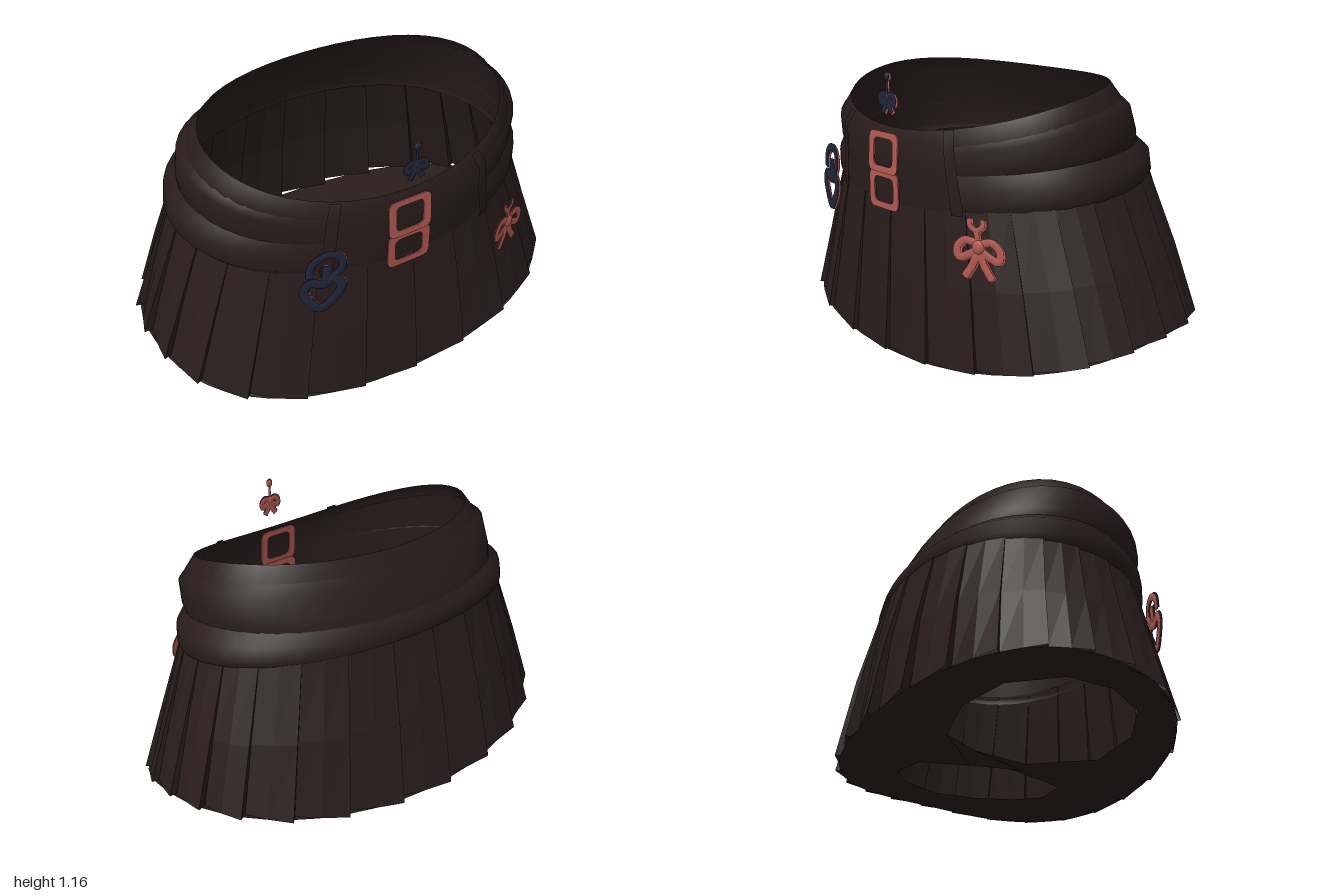
import * as THREE from 'three';

const cloth = new THREE.MeshStandardMaterial({ color: 0x291c1c, side: THREE.DoubleSide });
cloth.name = 'darkBrownCloth';
const pleatCloth = cloth.clone();
pleatCloth.name = 'darkBrownPleats';
pleatCloth.flatShading = true;
const copper = new THREE.MeshStandardMaterial({ color: 0xb25a52 });
copper.name = 'copperRed';
const navy = new THREE.MeshStandardMaterial({ color: 0x21273a });
navy.name = 'navyMetal';

// A tilted oval: centre x, half width, front z, back z, height at front, side and back,
// and how much the front corners are squared off
function ringPoint([cx, rx, zf, zb, yf, ys, yb, square = 0.02], t, out = 0) {
  const c = Math.cos(t);
  const q = 1 + (c > 0 ? square : 0.015) * Math.sin(2 * t) ** 2;
  const y = ys + ((yf + yb) / 2 - ys) * c * c + ((yf - yb) / 2) * c;
  return [cx + (rx * q + out) * Math.sin(t), y, (zf + zb) / 2 + (((zf - zb) / 2) * q + out) * c];
}

// Surface through rows of points of equal length
function skin(rows) {
  const index = [], n = rows[0].length;
  for (let r = 0; r < rows.length - 1; r++) {
    for (let i = 0; i < n - 1; i++) {
      const a = r * n + i, b = a + 1, c = b + n, d = a + n;
      index.push(a, b, c, a, c, d);
    }
  }
  const g = new THREE.BufferGeometry();
  g.setAttribute('position', new THREE.Float32BufferAttribute(rows.flat(2), 3));
  g.setIndex(index);
  g.computeVertexNormals();
  return g;
}

// Skin over rings (bottom to top); columns are [angle, outward offset], scaled per ring
function loft(rings, columns, scale = () => 1) {
  return skin(rings.map((ring, r) => columns.map(([t, o]) => ringPoint(ring, t, o * scale(r)))));
}

function arc(from, to, count, out = 0) {
  return Array.from({ length: count + 1 }, (_, i) => [from + ((to - from) * i) / count, out]);
}

function mesh(name, geometry, material) {
  const m = new THREE.Mesh(geometry, material);
  m.name = name;
  return m;
}

// Flattened ribbon along a 2D path
function stroke(points, radius, closed = false) {
  const curve = new THREE.CatmullRomCurve3(points.map(([x, y]) => new THREE.Vector3(x, y, 0)), closed);
  return new THREE.TubeGeometry(curve, points.length * 5, radius, 6, closed).scale(1, 1, 0.2);
}

// A charm with a front layer and a slightly offset back layer that shows as its rim
function charm(name, parts, frontMat, backMat, position, turn) {
  const g = new THREE.Group();
  g.name = name;
  parts.forEach(([part, geometry]) => {
    g.add(mesh(part + 'Front', geometry, frontMat));
    const back = mesh(part + 'Back', geometry, backMat);
    back.position.set(0.005, -0.003, -0.007);
    g.add(back);
  });
  g.position.set(...position);
  g.rotation.y = turn;
  return g;
}

function bowParts(s, thick) {
  const p = (list) => list.map(([x, y]) => [x * s, y * s]);
  const parts = [];
  for (const k of [-1, 1]) {
    parts.push(['bowLoop', stroke(p([[0, 0], [0.05 * k, 0.022], [0.085 * k, -0.008], [0.08 * k, -0.045], [0.04 * k, -0.03]]), thick, true)]);
    parts.push(['bowTail', stroke(p([[0, 0], [0.02 * k, -0.06], [0.055 * k, -0.115]]), thick)]);
  }
  parts.push(['bowKnot', new THREE.SphereGeometry(0.026 * s, 10, 8).scale(1, 1, 0.4)]);
  return parts;
}

function roundedRect(path, w, h, r) {
  const x = w / 2, y = h / 2;
  path.moveTo(-x + r, -y).lineTo(x - r, -y).quadraticCurveTo(x, -y, x, -y + r);
  path.lineTo(x, y - r).quadraticCurveTo(x, y, x - r, y).lineTo(-x + r, y);
  path.quadraticCurveTo(-x, y, -x, y - r).lineTo(-x, -y + r).quadraticCurveTo(-x, -y, -x + r, -y);
  return path;
}

export function createModel() {
  const model = new THREE.Group();
  model.name = 'pleatedSkirt';

  // Pleated skirt: sawtooth columns, fading towards the belt
  const hem = [0, 0.975, 0.622, -0.615, 0.005, 0.19, 0.13, 0.075];
  const skirtRings = [
    hem,
    [-0.005, 0.89, 0.6, -0.557, 0.34, 0.45, 0.48, 0.05],
    [-0.015, 0.785, 0.572, -0.475, 0.68, 0.75, 0.82, 0.025],
  ];
  const pleats = 24, columns = [];
  for (let i = 0; i < pleats; i++) {
    const a = (i / pleats) * Math.PI * 2, b = ((i + 1) / pleats) * Math.PI * 2;
    const jut = 0.018 - 0.007 * Math.cos(a);
    columns.push([a, -jut], [(a + b) / 2, 0], [b, jut]);
  }
  columns.push([Math.PI * 2, -0.011]);
  model.add(mesh('pleats', loft(skirtRings, columns, (r) => [1, 0.5, 0.1][r]), pleatCloth));

  // Waistband
  const band = [
    [-0.015, 0.785, 0.575, -0.465, 0.63, 0.71, 0.79],
    [-0.015, 0.79, 0.58, -0.465, 0.66, 0.74, 0.81],
    [-0.02, 0.75, 0.583, -0.44, 0.78, 0.86, 0.89],
    [-0.02, 0.725, 0.583, -0.355, 0.89, 1.03, 1.05],
    [-0.02, 0.67, 0.555, -0.31, 0.943, 1.1, 1.12],
  ];
  model.add(mesh('waistband', loft(band, arc(-Math.PI, Math.PI, 48)), cloth));

  // Two bulging belt folds around the sides and back
  const folds = {
    lowerBelt: [
      [-0.015, 0.785, 0.575, -0.465, 0.64, 0.71, 0.79],
      [-0.02, 0.81, 0.588, -0.487, 0.66, 0.745, 0.805],
      [-0.02, 0.805, 0.59, -0.475, 0.72, 0.82, 0.855],
      [-0.02, 0.752, 0.584, -0.44, 0.78, 0.87, 0.89],
    ],
    upperBelt: [
      [-0.02, 0.748, 0.582, -0.438, 0.77, 0.865, 0.89],
      [-0.02, 0.758, 0.588, -0.427, 0.8, 0.9, 0.93],
      [-0.02, 0.757, 0.588, -0.378, 0.86, 1.01, 1.02],
      [-0.02, 0.715, 0.578, -0.352, 0.9, 1.04, 1.06],
    ],
  };
  for (const [name, rings] of Object.entries(folds)) {
    model.add(mesh(name, loft(rings, arc(0.49, Math.PI * 2 - 0.49, 40)), cloth));
  }

  // Belt loops
  for (const t of [0.49, -0.49]) {
    model.add(mesh('beltLoop', loft(band, arc(t - 0.035, t + 0.035, 2, 0.017)), cloth));
  }

  // Underside: each leg opening [x, y, z] is joined to the hem by angle, and to a sagging centre strip
  const leg = [[0.2, 0.09, 0.4, 0], [0.44, 0.115, 0.43, 0.4], [0.62, 0.15, 0.36, 0.8], [0.73, 0.17, 0.2, 1.2],
    [0.75, 0.18, 0, 1.57], [0.62, 0.175, -0.2, 2.1], [0.42, 0.15, -0.29, 2.6], [0.18, 0.118, -0.27, Math.PI]];
  const strip = [[0.05, 0.115, -0.1, 0.065], [0.05, 0.085, 0.13, 0.073]];
  for (const k of [-1, 1]) {
    const inner = [], outer = [];
    for (let i = 0; i <= 28; i++) {
      const j = Math.min(6, Math.floor(i / 4)), f = i / 4 - j;
      const [x, y, z, t] = leg[j].map((v, n) => v + (leg[j + 1][n] - v) * f);
      inner.push([-0.02 + k * x, y, z]);
      outer.push(ringPoint(hem, k * t));
    }
    for (const [x, y, z, sag] of strip) {
      inner.push([-0.02 + k * x, y, z]);
      outer.push([-0.02, sag, z]);
    }
    inner.push(inner[0]);
    outer.push(outer[0]);
    model.add(mesh('underside', skin([inner, outer]), pleatCloth));
  }

  // Double buckle, showing on both faces of the waistband
  for (const [y, h, lean] of [[0.837, 0.17, -0.06], [0.68, 0.16, 0]]) {
    const frame = roundedRect(new THREE.Shape(), 0.2, h, 0.035);
    frame.holes.push(roundedRect(new THREE.Path(), 0.13, h - 0.055, 0.025));
    const plate = new THREE.ExtrudeGeometry(frame, { depth: 0.006, bevelEnabled: false, curveSegments: 4 });
    for (const z of [0.584, 0.558]) {
      const buckle = mesh('buckle', plate, copper);
      buckle.position.set(-0.045, y, z);
      buckle.rotation.x = lean;
      model.add(buckle);
    }
  }

  // Hanging bow with an open ring
  const hook = stroke([[-0.04, 0.11], [-0.036, 0.08], [-0.01, 0.065], [0.016, 0.08], [0.02, 0.11]], 0.012);
  const link = stroke([[-0.01, 0.06], [-0.004, 0.03], [0, 0]], 0.013);
  model.add(charm('bowCharm', [...bowParts(1.08, 0.018), ['hook', hook], ['link', link]], copper, copper, [0.51, 0.55, 0.548], 0.37));

  // Heart padlock
  const heart = stroke([[-0.015, -0.075], [-0.065, -0.015], [-0.078, 0.03], [-0.05, 0.065], [0, 0.045],
    [0.045, 0.065], [0.076, 0.035], [0.055, -0.02]], 0.023, true);
  const shackle = stroke([[-0.055, 0.09], [-0.045, 0.15], [0.015, 0.188], [0.068, 0.173], [0.078, 0.12], [0.04, 0.075]], 0.019);
  const clasp = stroke([[0.01, 0.06], [0.015, 0.1], [0.02, 0.14]], 0.022);
  model.add(charm('heartCharm', [['heart', heart], ['shackle', shackle], ['clasp', clasp]], navy, copper, [-0.445, 0.615, 0.59], -0.25));

  // Small bow pin above the front edge
  const bead = new THREE.SphereGeometry(0.017, 10, 8).scale(1, 1, 0.4).translate(0, 0.085, 0);
  const stem = stroke([[0, 0], [0, 0.04], [0, 0.08]], 0.007);
  model.add(charm('bowPin', [...bowParts(0.55, 0.014), ['bead', bead], ['stem', stem]], navy, copper, [-0.02, 1.065, 0.58], 0));

  return model;
}
